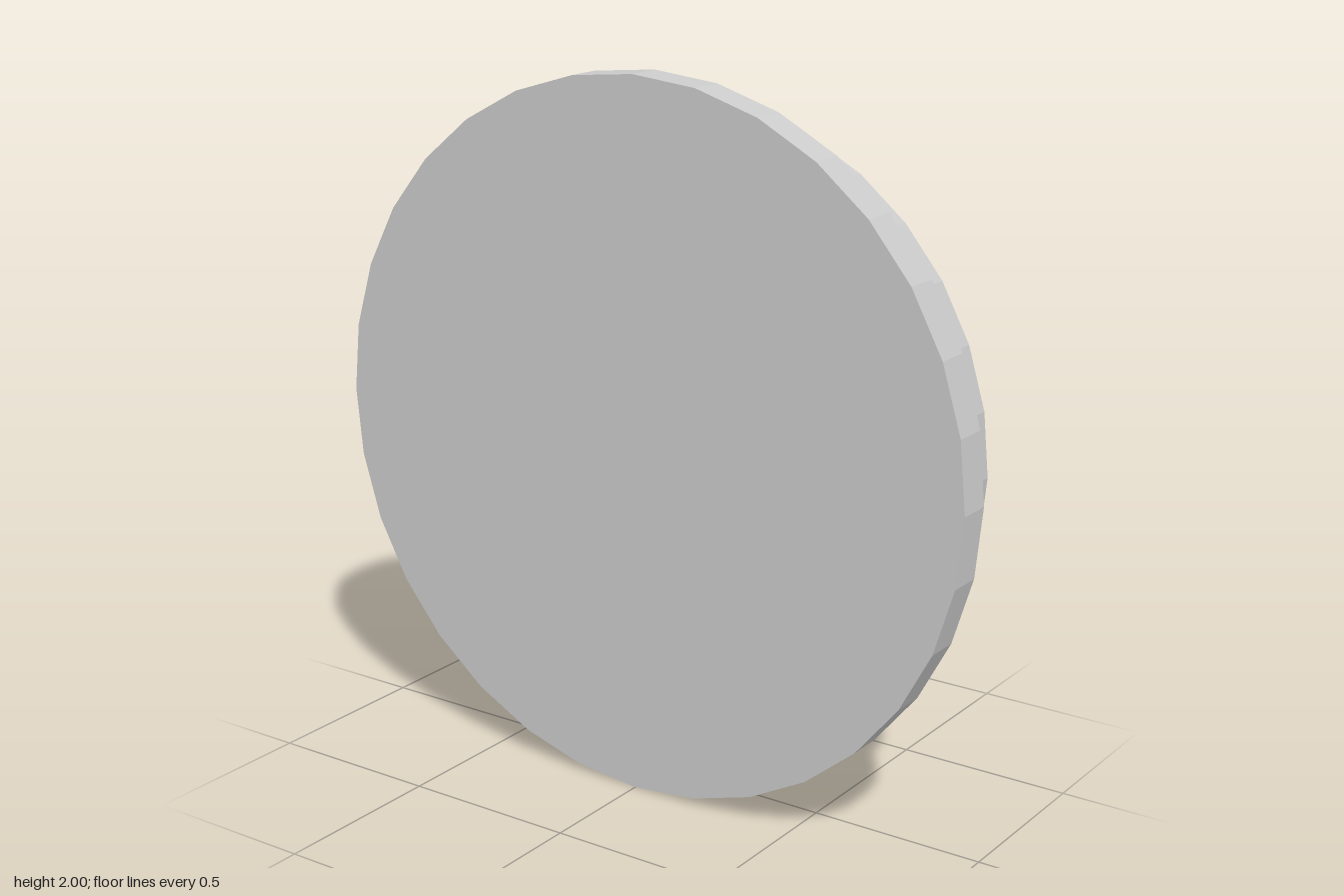
import * as THREE from 'three';

const SIDES = 32;

export function createModel() {
  const group = new THREE.Group();
  const material = new THREE.MeshStandardMaterial({ color: 0xcccccc, flatShading: true });

  // Faceted disc lying across the z axis between two depths
  function addDisc(name, radius, zBack, zFront) {
    const geometry = new THREE.CylinderGeometry(radius, radius, zFront - zBack, SIDES);
    geometry.rotateX(Math.PI / 2);
    const disc = new THREE.Mesh(geometry, material);
    disc.name = name;
    disc.position.set(0, 1, (zBack + zFront) / 2);
    group.add(disc);
  }

  // Wide, thin front flange
  addDisc('frontFlange', 1, 0.055, 0.155);
  // Narrower, deeper rear body
  addDisc('rearBody', 0.9, -0.155, 0.055);

  return group;
}
